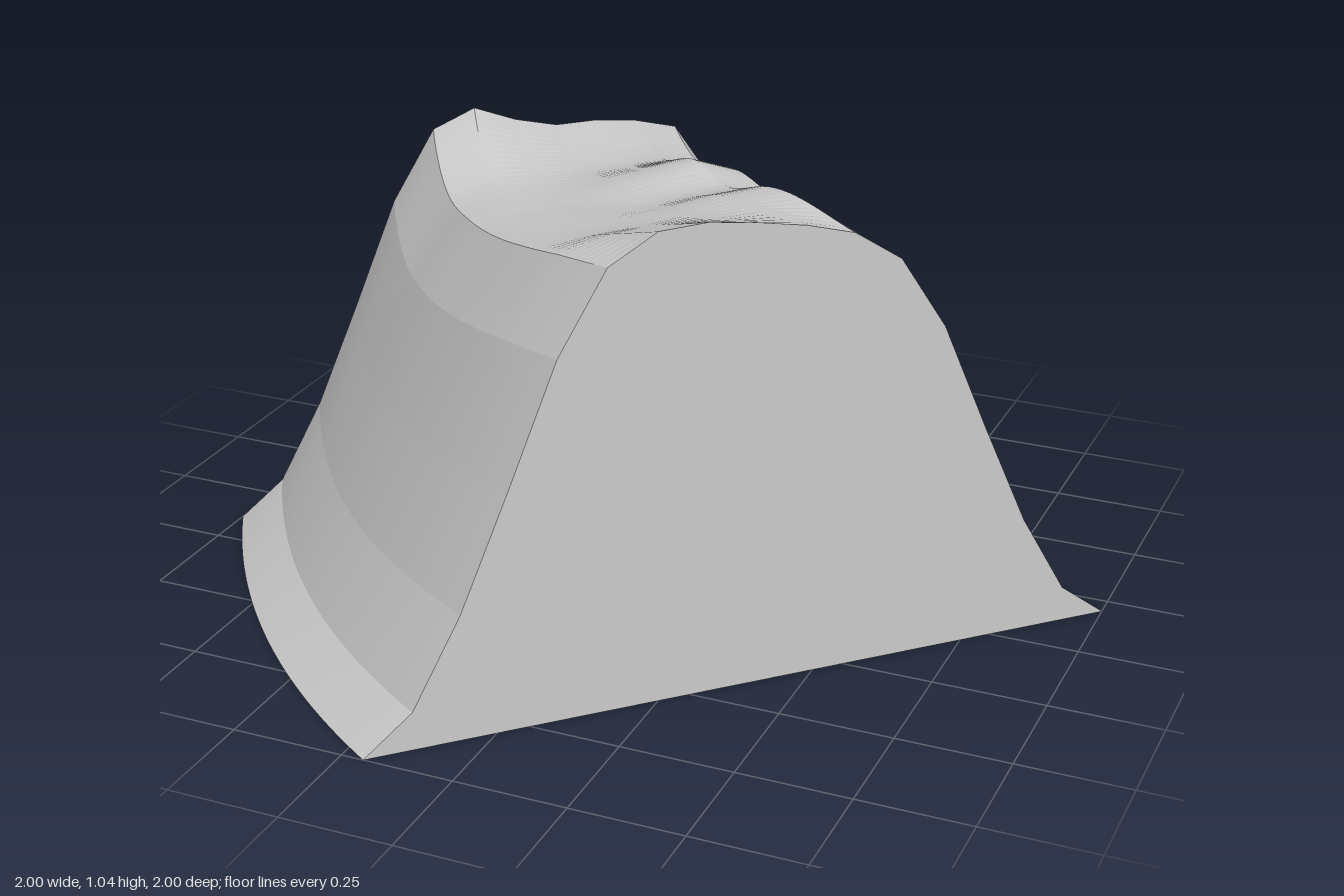
import * as THREE from 'three';

const ROWS = 48;
// crown heights: one row per station along the length, seven points across
const STATIONS = [0, 0.25, 0.45, 0.6, 0.75, 0.85, 1];
const CROWN = [
  [0.905, 0.945, 0.905, 0.88, 0.88, 0.867, 0.84],
  [0.85, 0.875, 0.87, 0.87, 0.87, 0.87, 0.84],
  [0.865, 0.88, 0.885, 0.905, 0.925, 0.942, 0.905],
  [0.89, 0.905, 0.915, 0.92, 0.93, 0.935, 0.905],
  [0.925, 0.94, 0.95, 0.965, 0.985, 0.99, 0.915],
  [0.95, 0.98, 0.985, 0.99, 1.0, 1.0, 0.92],
  [0.98, 1.04, 1.045, 1.03, 1.01, 0.98, 0.91],
];
// height of the side slopes as a share of the crown edge, from foot to edge
const SLOPE = [0, 0.088, 0.29, 0.55, 0.82];

// smooth height of one crown column at t
function crownHeight(col, t) {
  let i = 0;
  while (i < STATIONS.length - 2 && t > STATIONS[i + 1]) i++;
  const h = (k) => CROWN[k][col];
  const slope = (k) => {
    const a = Math.max(k - 1, 0), b = Math.min(k + 1, STATIONS.length - 1);
    return (h(b) - h(a)) / (STATIONS[b] - STATIONS[a]);
  };
  const d = STATIONS[i + 1] - STATIONS[i], f = (t - STATIONS[i]) / d;
  const f2 = f * f, f3 = f2 * f;
  return (2 * f3 - 3 * f2 + 1) * h(i) + (f3 - 2 * f2 + f) * d * slope(i)
    + (3 * f2 - 2 * f3) * h(i + 1) + (f3 - f2) * d * slope(i + 1);
}

// point on the bank: column j of 0..16 across, t of 0..1 along the curved length
function bankPoint(j, t) {
  const edge = Math.min(j, 16 - j);
  const y = edge < 5
    ? SLOPE[edge] * crownHeight(j < 8 ? 0 : 6, t)
    : crownHeight(j - 5, t);
  const half = 0.806 + 0.043 * t;
  const across = (half * (j - 8)) / 8 - 0.3 * t * (1 - t);
  const along = -0.608 + 1.174 * t;
  return [(along + across) * Math.SQRT1_2, y, (along - across) * Math.SQRT1_2];
}

// flat-shaded grid whose normal is u cross v
function grid(nu, nv, point) {
  const pos = [];
  for (let u = 0; u < nu; u++) {
    for (let v = 0; v < nv; v++) {
      const a = point(u, v), b = point(u + 1, v), c = point(u + 1, v + 1), d = point(u, v + 1);
      pos.push(...a, ...b, ...c, ...a, ...c, ...d);
    }
  }
  const geo = new THREE.BufferGeometry();
  geo.setAttribute('position', new THREE.Float32BufferAttribute(pos, 3));
  geo.computeVertexNormals();
  return geo;
}

export function createModel() {
  const group = new THREE.Group();
  group.name = 'curvedEmbankment';
  const grey = new THREE.MeshStandardMaterial({ color: 0xcccccc, side: THREE.DoubleSide, flatShading: true });
  grey.name = 'light grey';
  const add = (name, geo) => {
    const mesh = new THREE.Mesh(geo, grey);
    mesh.name = name;
    group.add(mesh);
  };

  // slopes and uneven crown, open underneath
  for (const [name, from, to] of [['rightSlope', 0, 5], ['crown', 5, 11], ['leftSlope', 11, 16]]) {
    add(name, grid(ROWS, to - from, (u, v) => bankPoint(from + v, u / ROWS)));
  }

  // flat end walls from the ground up to the profile
  const foot = ([x, , z]) => [x, 0, z];
  const wall = (j, v, t) => (v ? bankPoint(j, t) : foot(bankPoint(j, t)));
  add('frontEndWall', grid(16, 1, (u, v) => wall(u, v, 1)));
  add('backEndWall', grid(16, 1, (u, v) => wall(16 - u, v, 0)));
  return group;
}
